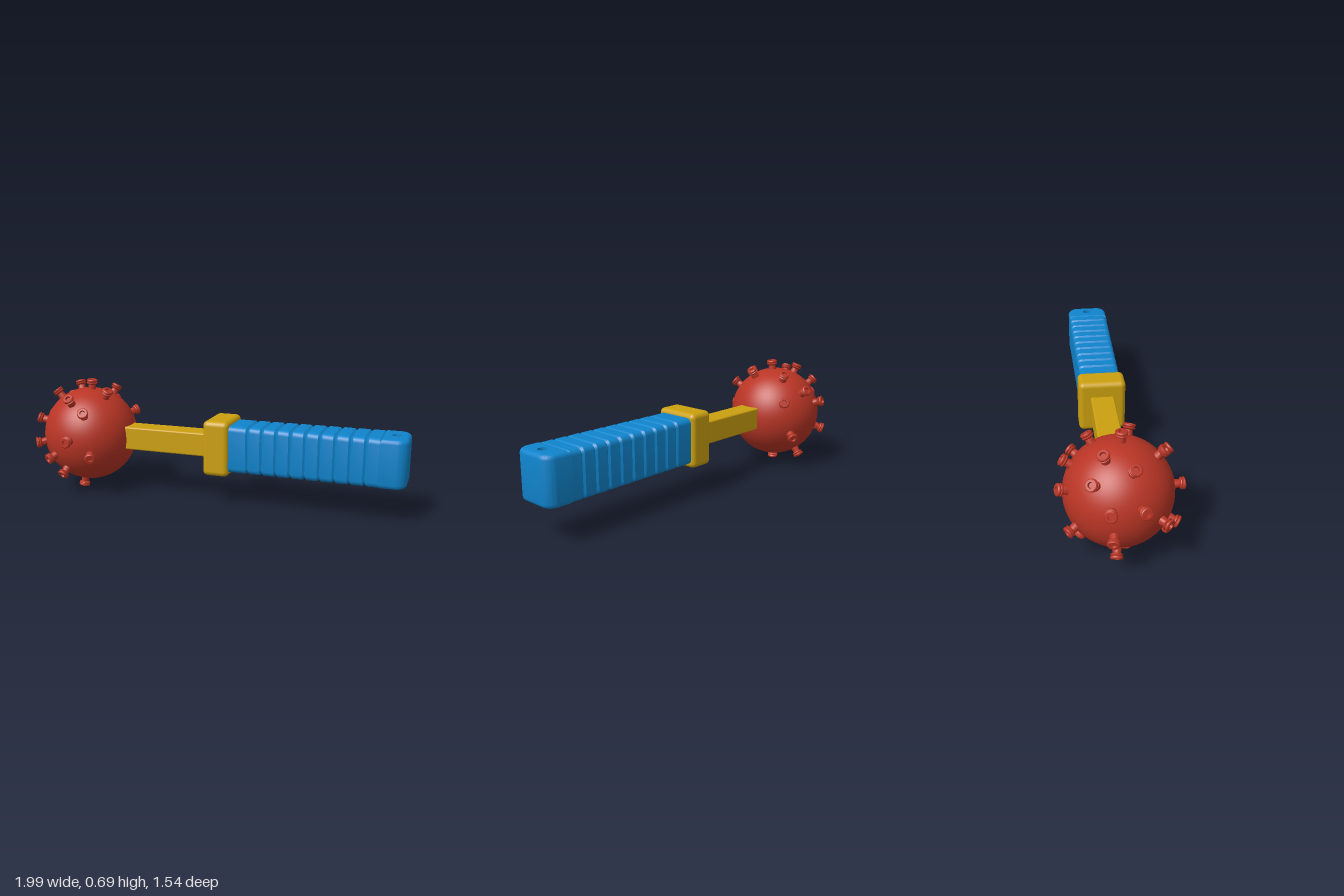
import * as THREE from 'three';
import { toCreasedNormals } from 'three/addons/utils/BufferGeometryUtils.js';
import { RoundedBoxGeometry } from 'three/addons/geometries/RoundedBoxGeometry.js';

const paint = (name, color) => Object.assign(new THREE.MeshStandardMaterial({ color }), { name });

function addMesh(parent, name, geometry, material, x = 0, y = 0, z = 0) {
  const mesh = new THREE.Mesh(geometry, material);
  mesh.name = name;
  mesh.position.set(x, y, z);
  parent.add(mesh);
  return mesh;
}

// Rounded rectangle outline, used as the grip cross-section (z, y)
function roundedRing(halfW, halfH, r, steps = 5) {
  const ring = [];
  for (let c = 0; c < 4; c++) {
    const sx = c === 0 || c === 3 ? 1 : -1;
    const sy = c < 2 ? 1 : -1;
    for (let i = 0; i <= steps; i++) {
      const a = (c + i / steps) * Math.PI / 2;
      ring.push([sx * (halfW - r) + r * Math.cos(a), sy * (halfH - r) + r * Math.sin(a)]);
    }
  }
  return ring;
}

// Ribbed grip: cross-sections along x, pinched at every groove
function ribbedGrip() {
  const grooves = [0.05];
  for (let k = 0; k <= 9; k++) grooves.push(0.19 + 0.083 * k);
  const stations = [];
  grooves.forEach((u, i) => {
    if (i > 0) stations.push([u - 0.012, 0.001]);
    stations.push([u, 0.009]);
    if (i < grooves.length - 1) stations.push([u + 0.012, 0]);
  });
  stations.push([0.95, 0.009]);
  const pos = [], idx = [];
  let n = 0;
  for (const [u, inset] of stations) {
    const ring = roundedRing(0.121 + 0.01 * u - inset, 0.1375 - inset, 0.03);
    n = ring.length;
    for (const [z, y] of ring) pos.push(u, y, z);
  }
  for (let s = 0; s < stations.length - 1; s++) {
    for (let i = 0; i < n; i++) {
      const a = s * n + i, b = s * n + (i + 1) % n;
      idx.push(a, a + n, b, b, a + n, b + n);
    }
  }
  const geo = new THREE.BufferGeometry();
  geo.setAttribute('position', new THREE.Float32BufferAttribute(pos, 3));
  geo.setIndex(idx);
  // Rings run z to y, so reverse if the first side faces inward
  geo.computeVertexNormals();
  if (geo.attributes.normal.getZ(n) < 0) {
    geo.setIndex(idx.map((_, i) => idx[i - (i % 3) + 2 - (i % 3)]));
  }
  return toCreasedNormals(geo, 0.4);
}

// Butt of the grip with a vertical cord hole
function gripButt() {
  const bevel = 0.025, u0 = 0.943 + bevel - 0.02, u1 = 1.075 - bevel, w = 0.131 - bevel, r = 0.04;
  const s = new THREE.Shape();
  s.moveTo(u0, -w);
  s.lineTo(u1 - r, -w);
  s.absarc(u1 - r, -w + r, r, -Math.PI / 2, 0, false);
  s.absarc(u1 - r, w - r, r, 0, Math.PI / 2, false);
  s.lineTo(u0, w);
  s.closePath();
  const hole = new THREE.Path();
  hole.absarc(1.0, 0, 0.025 + bevel * 0.2, 0, Math.PI * 2, true);
  s.holes.push(hole);
  const geo = new THREE.ExtrudeGeometry(s, {
    depth: 0.275 - 2 * bevel, bevelThickness: bevel, bevelSize: bevel, bevelSegments: 4, curveSegments: 10,
  });
  // Undo the bevel growth inside the hole so that its wall stays straight
  const p = geo.attributes.position;
  for (let i = 0; i < p.count; i++) {
    const dx = p.getX(i) - 1, dy = p.getY(i), d = Math.hypot(dx, dy);
    if (d < 0.04 && d > 0.001) p.setXY(i, 1 + dx / d * 0.025, dy / d * 0.025);
  }
  geo.translate(0, 0, -0.1375 + bevel);
  geo.rotateX(-Math.PI / 2);
  return toCreasedNormals(geo, 0.5);
}

// Spool-shaped stud with a ringed cap and a recessed centre
function studGeometry() {
  const profile = [
    [0.026, -0.015], [0.024, 0.006], [0.021, 0.026], [0.031, 0.032], [0.033, 0.037], [0.027, 0.041],
    [0.033, 0.046], [0.033, 0.053], [0.028, 0.058], [0.016, 0.058], [0.014, 0.046], [0.0, 0.046],
  ].map(([r, y]) => new THREE.Vector2(r, y));
  return toCreasedNormals(new THREE.LatheGeometry(profile, 16), 0.5);
}

// Directions of the studs from the centre of the ball
const STUDS = [
  [-0.12, 0.90, -0.41], [-0.57, 0.80, -0.20], [0.04, 1.0, 0.08], [0.53, 0.83, -0.18],
  [-0.44, 0.75, 0.50], [0.27, 0.85, 0.45], [-0.23, 0.54, 0.81], [-0.55, 0.04, 0.83],
  [-0.15, -0.25, 0.96], [0.58, 0.54, -0.61], [0.90, 0.36, -0.20], [0.86, -0.34, -0.39],
  [0.31, 0.28, -0.88], [0.04, -0.32, -0.94], [-0.25, 0.62, -0.74], [-0.62, 0.28, -0.70],
  [-0.90, 0.28, -0.29], [-0.98, -0.10, 0.10], [-0.82, -0.33, 0.45], [-0.17, -0.98, 0.02],
  [0.33, -0.80, -0.50], [-0.60, -0.63, 0.50], [-0.55, -0.65, -0.52], [-0.68, -0.20, -0.70],
];

export function createModel() {
  const red = paint('ball red', 0xb93525);
  const yellow = paint('shaft yellow', 0xcca010);
  const blue = paint('grip blue', 0x1084cc);

  const model = new THREE.Group();
  model.name = 'studdedMace';

  // Everything lies along a slanted axis through the guard
  const mace = new THREE.Group();
  mace.name = 'mace';
  mace.position.set(0.06, 0.353, 0.07);
  const tilt = -35.1 * Math.PI / 180;
  mace.rotation.y = tilt;
  model.add(mace);

  addMesh(mace, 'shaft', new RoundedBoxGeometry(0.66, 0.14, 0.14, 3, 0.01), yellow, -0.32, 0.002, 0);
  addMesh(mace, 'guard', new RoundedBoxGeometry(0.155, 0.325, 0.28, 4, 0.03), yellow);
  addMesh(mace, 'grip', ribbedGrip(), blue);
  addMesh(mace, 'gripButt', gripButt(), blue);

  // Studded ball
  const head = new THREE.Group();
  head.name = 'head';
  head.position.set(-0.653, 0.353, -0.433);
  model.add(head);
  addMesh(head, 'ball', new THREE.SphereGeometry(0.2875, 48, 32), red);
  const studGeo = studGeometry();
  const up = new THREE.Vector3(0, 1, 0);
  for (const d of STUDS) {
    const dir = new THREE.Vector3(...d).normalize();
    const stud = addMesh(head, 'stud', studGeo, red);
    stud.position.copy(dir).multiplyScalar(0.2875);
    stud.quaternion.setFromUnitVectors(up, dir);
  }
  return model;
}
